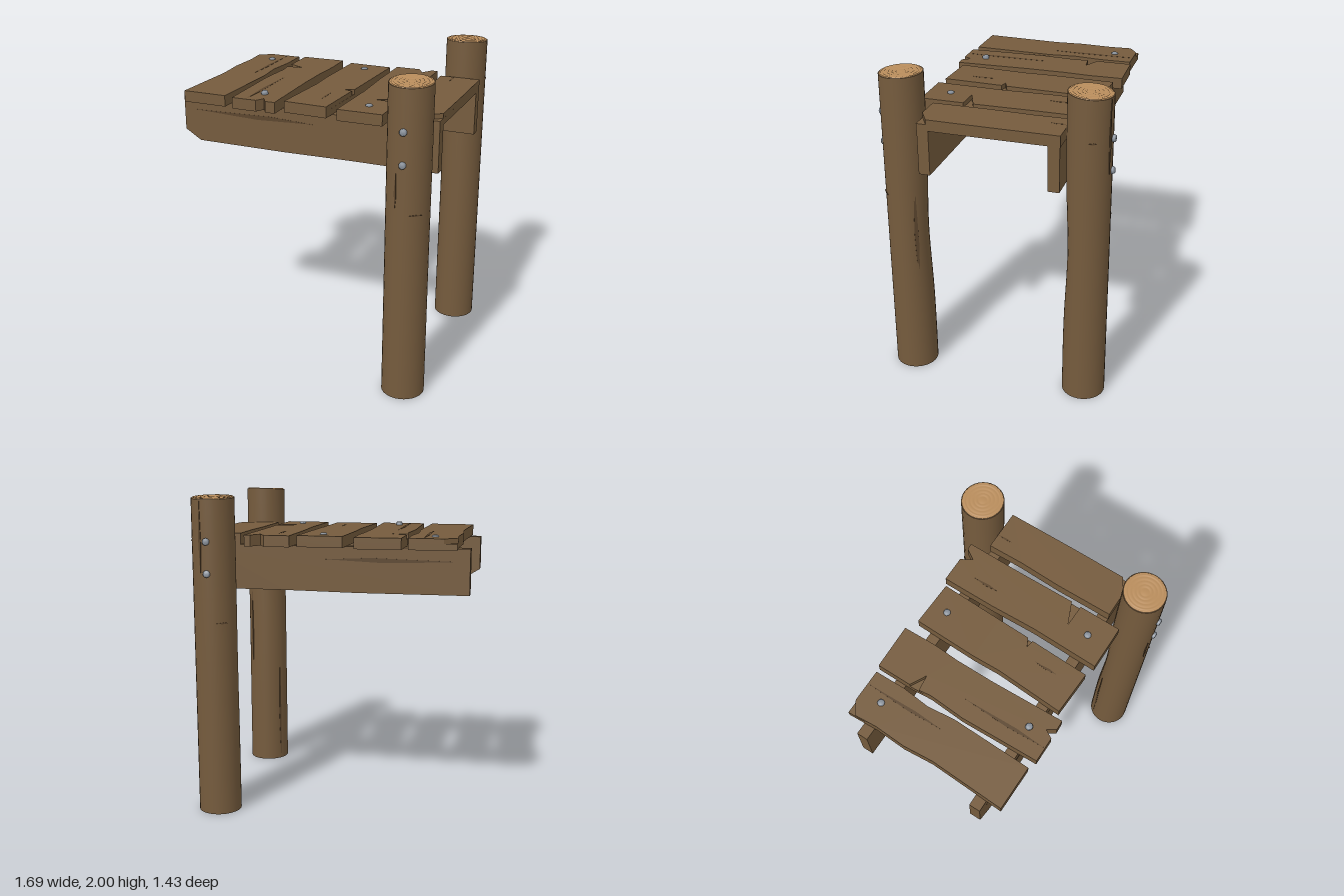
import * as THREE from 'three';

const paint = (color) => new THREE.MeshStandardMaterial({ color });
const wood = paint(0x755b3d);
const crackWood = paint(0x5c462e);
const endGrain = paint(0xb98d5c);
const steel = paint(0x8a929c);

function addMesh(parent, name, geometry, material) {
  const mesh = new THREE.Mesh(geometry, material);
  mesh.name = name;
  parent.add(mesh);
  return mesh;
}

const shapeOf = (pts) => new THREE.Shape(pts.map(([x, y]) => new THREE.Vector2(x, y)));

// Flat slab with an outline in x and z
function slab(pts, y0, y1) {
  const g = new THREE.ExtrudeGeometry(shapeOf(pts.map(([x, z]) => [x, -z])), { depth: y1 - y0, bevelEnabled: false });
  return g.rotateX(-Math.PI / 2).translate(0, y0, 0);
}

// Thin crooked split in the wood, running along y and facing +z
function crackGeometry(length, width) {
  const l = length / 2, w = width / 2;
  const pts = [[0, -l], [w, -l * 0.3], [w * 0.6, l * 0.3], [w * 0.2, l], [-w * 0.5, l * 0.4], [-w, -l * 0.1]];
  return new THREE.ExtrudeGeometry(shapeOf(pts), { depth: 0.004, bevelEnabled: false }).translate(0, 0, -0.002);
}

// Bolt head with a small domed top, pointing up y
function boltGeometry() {
  const pts = [[0.022, -0.02], [0.022, 0.009], [0.016, 0.015], [0, 0.016]];
  return new THREE.LatheGeometry(pts.map(([x, y]) => new THREE.Vector2(x, y)), 10);
}

// Each plank: left edge, notches in the far right end, right edge, near end;
// chips are cut from the upper layer only.
const planks = [
  {
    low: [[-0.78, -0.535], [-0.49, -0.535], [-0.487, -0.34], [-0.505, -0.16], [-0.487, 0.02], [-0.5, 0.533],
      [-0.785, 0.53], [-0.765, 0.05], [-0.78, -0.14], [-0.77, -0.34]],
    chip: { at: 0, cut: [[-0.78, -0.48], [-0.7, -0.535]] },
    cracks: [[-0.58, -0.27, 0.52, 0.022]],
  },
  {
    low: [[-0.45, -0.548], [-0.165, -0.554], [-0.16, -0.34], [-0.17, -0.18], [-0.17, 0.07], [-0.155, 0.547],
      [-0.217, 0.549], [-0.25, 0.498], [-0.28, 0.55], [-0.44, 0.55], [-0.455, 0.05], [-0.44, -0.18], [-0.45, -0.3]],
    chip: { at: 12, cut: [[-0.45, -0.26], [-0.35, -0.272], [-0.45, -0.325]] },
    cracks: [[-0.35, 0.27, 0.54, 0.024]],
  },
  {
    low: [[-0.085, -0.515], [0.2, -0.505], [0.188, -0.11], [0.18, 0.12], [0.165, 0.513],
      [-0.115, 0.5], [-0.09, 0.07], [-0.095, -0.11]],
    chip: { at: 3, cut: [[0.182, 0.1], [0.13, 0.125], [0.178, 0.135]] },
    cracks: [[0.072, 0.29, 0.15, 0.016]],
  },
  {
    low: [[0.24, -0.535], [0.4, -0.535], [0.44, -0.465], [0.485, -0.535], [0.525, -0.535], [0.523, -0.2],
      [0.528, 0.2], [0.525, 0.53], [0.24, 0.53], [0.25, 0.1], [0.24, -0.2]],
    chip: { at: 6, cut: [[0.528, 0.195], [0.385, 0.255], [0.527, 0.258]] },
    cracks: [[0.34, -0.31, 0.17, 0.018]],
  },
  {
    low: [[0.58, -0.43], [0.84, -0.43], [0.842, 0], [0.84, 0.43], [0.578, 0.43], [0.575, 0.07], [0.584, -0.2]],
    chip: { at: 3, cut: [[0.84, 0.37], [0.74, 0.43]] },
    cracks: [[0.67, -0.38, 0.1, 0.014]],
  },
];

function buildPlank({ low, chip, cracks }) {
  const plank = new THREE.Group();
  plank.name = 'deckPlank';
  const upper = [...low];
  upper.splice(chip.at, 1, ...chip.cut);
  addMesh(plank, 'plankLowerLayer', slab(low, 1.69, 1.73), wood);
  addMesh(plank, 'plankUpperLayer', slab(upper, 1.73, 1.76), wood);
  for (const [x, z, length, width] of cracks) {
    const crack = addMesh(plank, 'plankCrack', crackGeometry(length, width), crackWood);
    crack.rotation.x = -Math.PI / 2;
    crack.position.set(x, 1.759, z);
  }
  return plank;
}

const POST_X = 0.708, POST_Z = 0.566, POST_R = 0.134;

// Slight waist on the side facing the deck, and a sloping top; s is the side (+1 front, -1 back)
const waist = (y, inward) => 0.02 * Math.exp(-(((y - 0.98) / 0.36) ** 2)) * Math.max(0, inward);
function warpPost(g, s) {
  const p = g.attributes.position;
  for (let i = 0; i < p.count; i++) {
    const y = p.getY(i), z = p.getZ(i);
    p.setZ(i, z + s * waist(y, (-s * z) / POST_R));
    if (y > 1.9) p.setY(i, y - 0.05 * s * z);
  }
  return g;
}

function buildPost(s, cracks) {
  const post = new THREE.Group();
  post.name = s > 0 ? 'frontPost' : 'backPost';
  post.position.set(POST_X, 0, s * POST_Z);
  const body = new THREE.CylinderGeometry(POST_R - 0.002, POST_R, 1.987, 32, 20).translate(0, 0.9935, 0);
  addMesh(post, 'postTrunk', warpPost(body, s), wood);

  // Growth rings on the sawn top
  const profile = [new THREE.Vector2(0.127, 1.987)];
  for (const r of [0.118, 0.1, 0.075, 0.05, 0.027]) {
    profile.push(new THREE.Vector2(r + 0.005, 1.993), new THREE.Vector2(r, 1.989), new THREE.Vector2(r - 0.003, 1.993));
  }
  profile.push(new THREE.Vector2(0, 1.993));
  addMesh(post, 'postEndGrain', warpPost(new THREE.LatheGeometry(profile, 32), s), endGrain);

  // Splits in the trunk: angle from +z, height, length, width, lying flat or not
  for (const [angle, y, length, width, flat] of cracks) {
    const holder = new THREE.Group();
    holder.name = 'postCrackHolder';
    holder.rotation.y = angle;
    post.add(holder);
    const crack = addMesh(holder, 'postCrack', crackGeometry(length, width), crackWood);
    const inward = -s * Math.cos(angle);
    crack.position.set(0, y, POST_R - waist(y, inward) * Math.abs(inward) - 0.001);
    if (flat) crack.rotation.z = Math.PI / 2;
  }

  // Two bolts on the outer side
  [1.73, 1.535].forEach((y, i) => {
    const bolt = addMesh(post, 'postBolt', boltGeometry(), steel);
    bolt.position.set(0.003, y, s * POST_R);
    bolt.rotation.x = s * Math.PI / 2 + (s < 0 && i ? 0.2 : 0);
  });
  return post;
}

export function createModel() {
  const model = new THREE.Group();
  model.name = 'woodenJetty';

  planks.forEach((p) => model.add(buildPlank(p)));

  // Side beams, the front one with a broken lower corner
  const top = [[0.84, 1.41], [0.84, 1.69], [-0.85, 1.692]];
  const outlines = {
    frontBeam: [[-0.85, 1.475], [-0.745, 1.41], [-0.15, 1.407], [0.3, 1.412], ...top],
    backBeam: [[-0.85, 1.41], [-0.15, 1.407], [0.3, 1.412], ...top],
  };
  for (const [name, z] of [['frontBeam', 0.358], ['backBeam', -0.428]]) {
    const g = new THREE.ExtrudeGeometry(shapeOf(outlines[name]), { depth: 0.07, bevelEnabled: false });
    addMesh(model, name, g.translate(0, 0, z), wood);
  }
  for (const s of [1, -1]) {
    const crack = addMesh(model, 'beamCrack', crackGeometry(0.82, 0.03), crackWood);
    crack.position.set(-0.37, 1.61, s * 0.427);
    crack.rotation.z = Math.PI / 2;
  }

  // Posts
  model.add(buildPost(1, [[-0.3, 1.37, 0.22, 0.016], [0.65, 1.23, 0.08, 0.01, true],
    [2.3, 1.03, 0.95, 0.026], [-2.2, 0.38, 0.7, 0.018]]));
  model.add(buildPost(-1, [[1.9, 1.73, 0.05, 0.01, true], [-2.5, 1.23, 0.08, 0.01, true], [2.8, 1.75, 0.45, 0.018]]));

  // Nail heads in the deck, one of them bent
  for (const [x, z, tilt] of [[-0.635, -0.4, 0], [0.055, -0.4, 0], [-0.29, 0.405, 0.2], [0.39, 0.39, 0]]) {
    const nail = addMesh(model, 'deckNail', boltGeometry(), steel);
    nail.position.set(x, tilt ? 1.765 : 1.755, z);
    nail.rotation.x = tilt;
  }
  return model;
}
